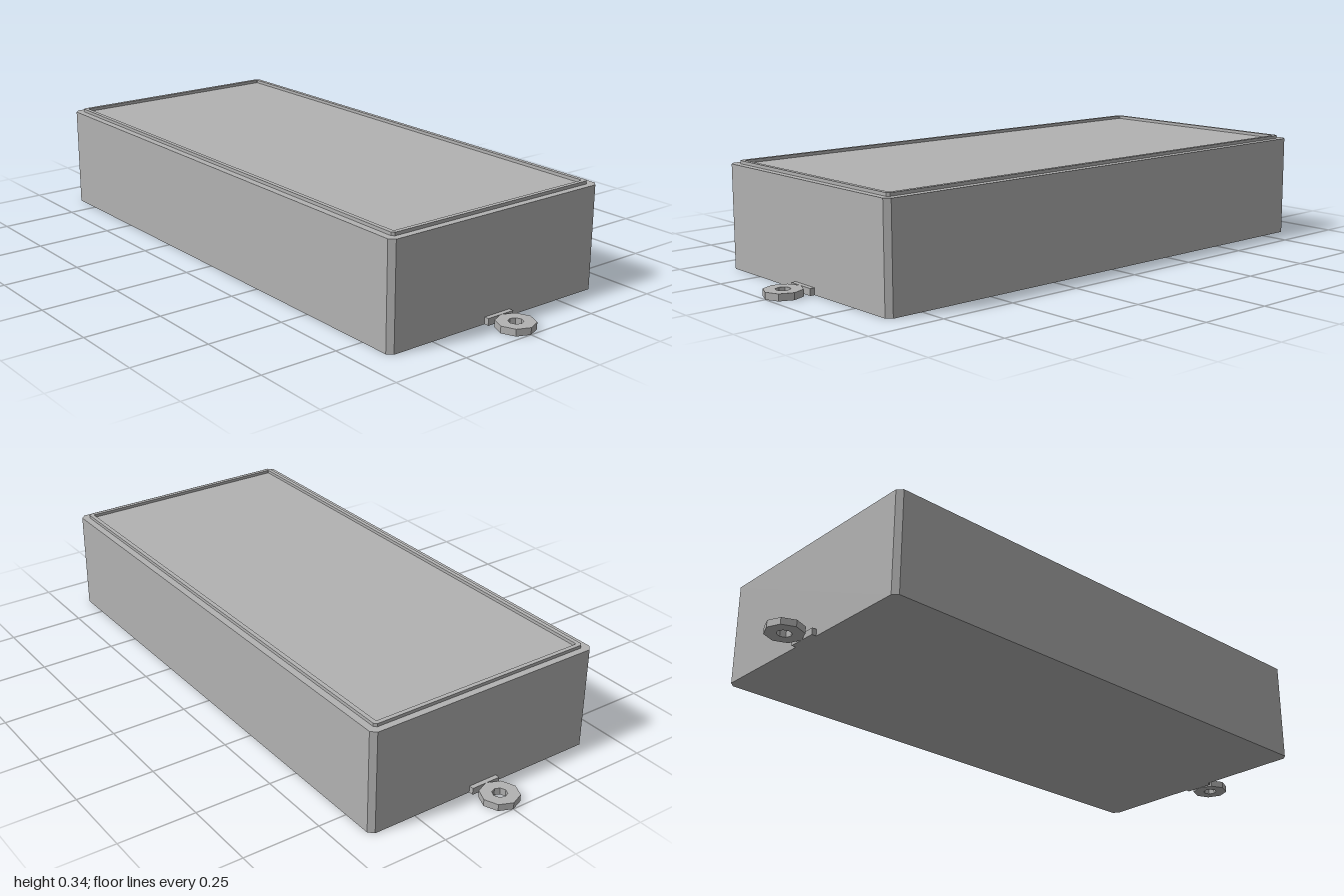
import * as THREE from 'three';

const grey = new THREE.MeshStandardMaterial({ color: 0xb2b2b2 });
grey.name = 'casing grey';

// Rectangle with clipped corners, in plan
function clippedRect(w, d, c, Type = THREE.Shape) {
  const pts = [[w - c, -d], [w, c - d], [w, d - c], [w - c, d], [c - w, d], [-w, d - c], [-w, c - d], [c - w, -d]];
  return new Type(pts.map(([x, y]) => new THREE.Vector2(x, y)));
}

// Octagon with a corner on each axis
function octagon(r, Type = THREE.Shape) {
  const pts = [];
  for (let i = 0; i < 8; i++) {
    const a = (i * Math.PI) / 4;
    pts.push(new THREE.Vector2(r * Math.cos(a), r * Math.sin(a)));
  }
  return new Type(pts);
}

// Plan shape raised from y0 to y1
function raise(name, shape, y0, y1) {
  const g = new THREE.ExtrudeGeometry(shape, { depth: y1 - y0, bevelEnabled: false });
  g.rotateX(-Math.PI / 2).translate(0, y0, 0);
  const mesh = new THREE.Mesh(g, grey);
  mesh.name = name;
  return mesh;
}

export function createModel() {
  const model = new THREE.Group();
  model.name = 'enclosure';

  // Main case with narrow corner chamfers
  model.add(raise('caseBody', clippedRect(0.407, 0.866, 0.016), 0, 0.332));

  // Thin raised lip around the top
  const lip = clippedRect(0.384, 0.844, 0.008);
  lip.holes.push(clippedRect(0.37, 0.83, 0.002, THREE.Path));
  model.add(raise('topLip', lip, 0.332, 0.342));

  // Screw lug at each end
  for (const side of [1, -1]) {
    const lug = new THREE.Group();
    lug.name = side > 0 ? 'frontLug' : 'backLug';
    const ring = octagon(0.06);
    ring.holes.push(octagon(0.023, THREE.Path));
    const eye = raise('lugEye', ring, 0, 0.022);
    eye.position.z = 0.94;
    const foot = new THREE.Mesh(new THREE.BoxGeometry(0.1, 0.022, 0.02), grey);
    foot.name = 'lugFoot';
    foot.position.set(0, 0.011, 0.871);
    lug.add(eye, foot);
    if (side < 0) lug.rotation.y = Math.PI;
    model.add(lug);
  }
  return model;
}
